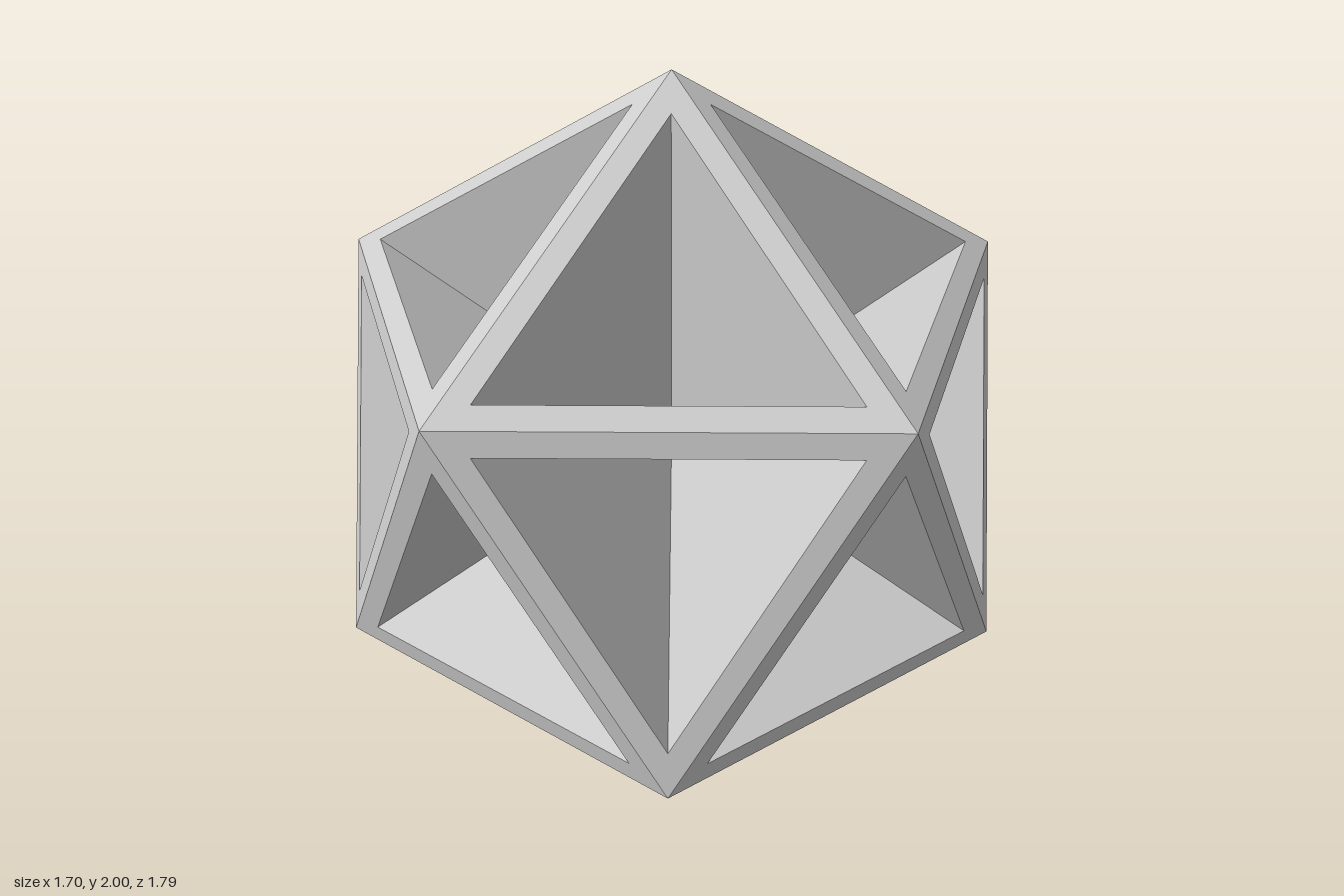
import * as THREE from 'three';

const CENTRE = new THREE.Vector3(0, 1, 0);
const INSET = 0.8; // size of each opening relative to its face

// Five vertices of a horizontal ring on the unit sphere, starting at an angle from +z
function ring(y, start) {
  const r = 2 / Math.sqrt(5);
  return Array.from({ length: 5 }, (_, i) => {
    const a = start + (i * 2 * Math.PI) / 5;
    return new THREE.Vector3(r * Math.sin(a), y, r * Math.cos(a));
  });
}

// The twenty faces, corners counter-clockwise from outside
function icosahedronFaces() {
  const h = 1 / Math.sqrt(5);
  const top = new THREE.Vector3(0, 2, 0);
  const bottom = new THREE.Vector3(0, 0, 0);
  const upper = ring(1 + h, 0);
  const lower = ring(1 - h, Math.PI / 5);
  const faces = [];
  for (let i = 0; i < 5; i++) {
    const j = (i + 1) % 5;
    faces.push(
      [top, upper[i], upper[j]],
      [upper[i], lower[i], upper[j]],
      [lower[i], lower[j], upper[j]],
      [bottom, lower[j], lower[i]]
    );
  }
  return faces;
}

function trianglesMesh(name, points, material) {
  const geometry = new THREE.BufferGeometry().setFromPoints(points);
  geometry.computeVertexNormals();
  const mesh = new THREE.Mesh(geometry, material);
  mesh.name = name;
  return mesh;
}

export function createModel() {
  const group = new THREE.Group();
  group.name = 'hollowIcosahedron';
  const material = new THREE.MeshStandardMaterial({ color: 0xcccccc, flatShading: true });

  const frame = [];
  const recesses = [];
  for (const face of icosahedronFaces()) {
    const middle = new THREE.Vector3().add(face[0]).add(face[1]).add(face[2]).divideScalar(3);
    const inner = face.map((p) => middle.clone().lerp(p, INSET));
    for (let k = 0; k < 3; k++) {
      const n = (k + 1) % 3;
      // Flat border strip along one edge of the face
      frame.push(face[k], face[n], inner[n], face[k], inner[n], inner[k]);
      // Recess wall running from the opening to the centre
      recesses.push(inner[k], inner[n], CENTRE);
    }
  }

  group.add(trianglesMesh('edgeFrame', frame, material));
  group.add(trianglesMesh('pyramidRecesses', recesses, material));
  return group;
}
